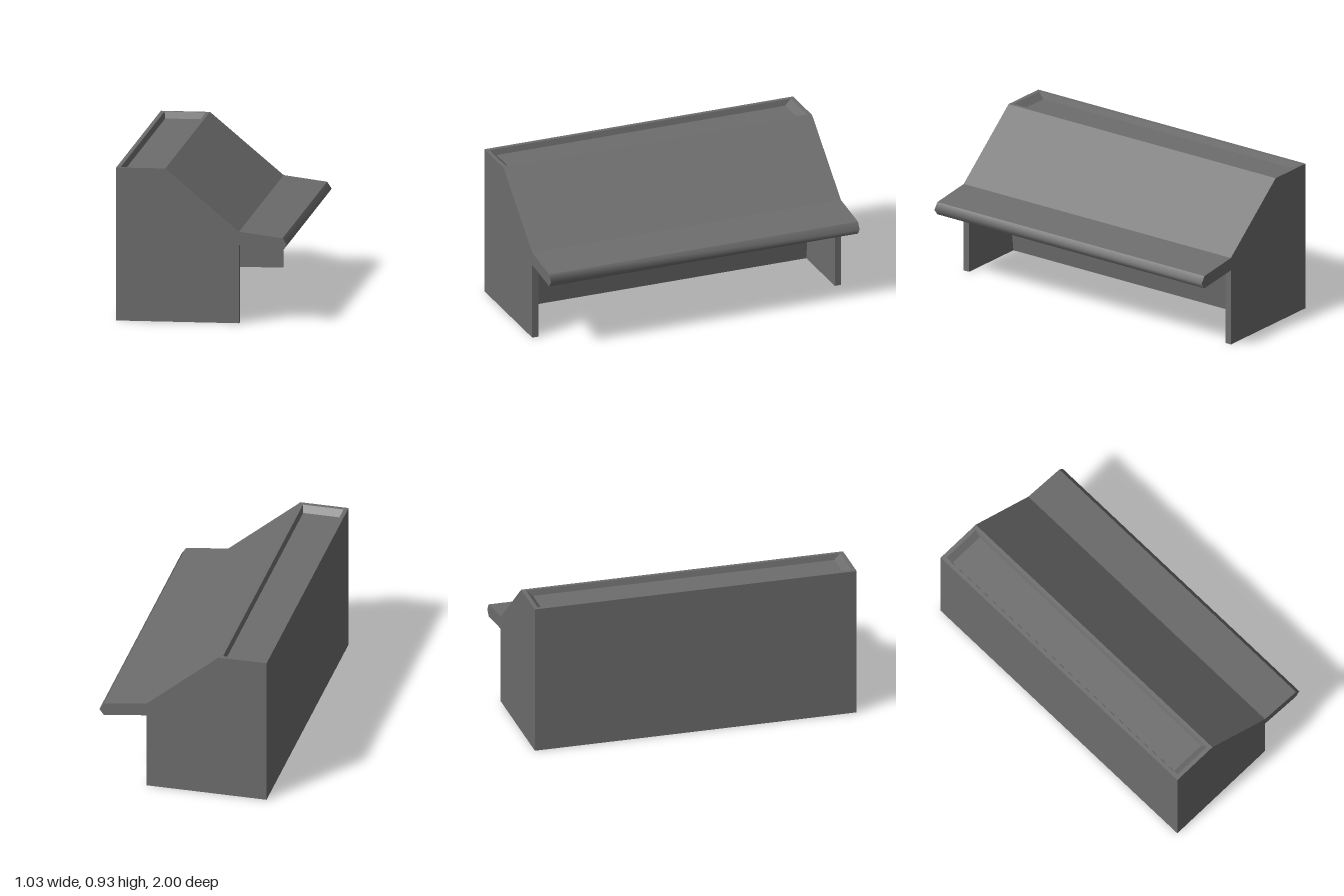
import * as THREE from 'three';
import { mergeVertices } from 'three/addons/utils/BufferGeometryUtils.js';

const material = new THREE.MeshStandardMaterial({ color: 0x6d6d6d });

// Geometry from four-cornered faces, corners counter-clockwise from outside
function quads(list) {
  const pos = [];
  for (const [a, b, c, d] of list) for (const p of [a, b, c, a, c, d]) pos.push(...p);
  const g = new THREE.BufferGeometry();
  g.setAttribute('position', new THREE.Float32BufferAttribute(pos, 3));
  g.computeVertexNormals();
  return g;
}

// Sweep an open profile along z; the solid lies left of the profile
function sweep(profile, z0, z1) {
  const list = [];
  for (let i = 0; i + 1 < profile.length; i++) {
    const [p, q] = [profile[i], profile[i + 1]];
    list.push([[...p, z0], [...q, z0], [...q, z1], [...p, z1]]);
  }
  return quads(list);
}

// Flat outline at depth z, facing +z or -z
function face(points, z, facing) {
  const g = new THREE.ShapeGeometry(new THREE.Shape(points.map(p => new THREE.Vector2(...p))));
  if (facing < 0) {
    g.index.array.reverse();
    g.computeVertexNormals();
  }
  return g.translate(0, 0, z);
}

const rect = (x0, x1, z, y) => [[x0, y, z], [x1, y, z], [x1, y, -z], [x0, y, -z]];
const ring = (o, n) => o.map((p, i) => [p, o[(i + 1) % 4], n[(i + 1) % 4], n[i]]);

export function createModel() {
  const group = new THREE.Group();
  const add = (name, geometry) => {
    const mesh = new THREE.Mesh(geometry, material);
    mesh.name = name;
    group.add(mesh);
  };

  // Side outline of the desk
  const backFoot = [-0.515, 0], frontFoot = [0.225, 0], kneeTop = [0.225, 0.476];
  const noseLow = [0.487, 0.443], noseTip = [0.515, 0.48], noseHigh = [0.487, 0.521];
  const slopeFoot = [0.225, 0.555], slopeTop = [-0.219, 0.928], backTop = [-0.515, 0.928];
  // Inner corners of the knee space
  const wallFoot = [-0.215, 0], wallTop = [-0.15, 0.48];
  const inner = 0.96;

  // Outer skin
  add('backPanel', sweep([backTop, backFoot], -1, 1));
  add('slopedTop', sweep([noseHigh, slopeFoot, slopeTop], -1, 1));
  add('ledgeUnderside', sweep([kneeTop, noseLow], -1, 1));

  // Rounded front edge of the ledge
  const nose = sweep([noseLow, noseTip, noseHigh], -1, 1);
  nose.deleteAttribute('normal');
  const smoothNose = mergeVertices(nose);
  smoothNose.computeVertexNormals();
  add('ledgeNose', smoothNose);

  // Knee space and base
  add('kneeSpace', sweep([wallFoot, wallTop, kneeTop], -inner, inner));
  add('base', sweep([backFoot, wallFoot], -inner, inner));

  // End panels, one on each side
  const outline = [backFoot, frontFoot, kneeTop, noseLow, noseTip, noseHigh, slopeFoot, slopeTop, backTop];
  for (const s of [-1, 1]) {
    add('endPanelOuter', face(outline, s, s));
    add('endPanelInner', face([wallFoot, frontFoot, kneeTop, wallTop], s * inner, -s));
    add('endPanelEdge', sweep([backFoot, frontFoot, kneeTop], s > 0 ? inner : -1, s > 0 ? 1 : -inner));
  }

  // Top rim around a shallow tray with sloping walls
  const rim = rect(-0.49, -0.241, 0.975, 0.928);
  const floor = rect(-0.48, -0.251, 0.936, 0.893);
  add('topRim', quads(ring(rect(-0.515, -0.219, 1, 0.928), rim)));
  add('trayWalls', quads(ring(rim, floor)));
  add('trayFloor', quads([floor]));

  return group;
}
